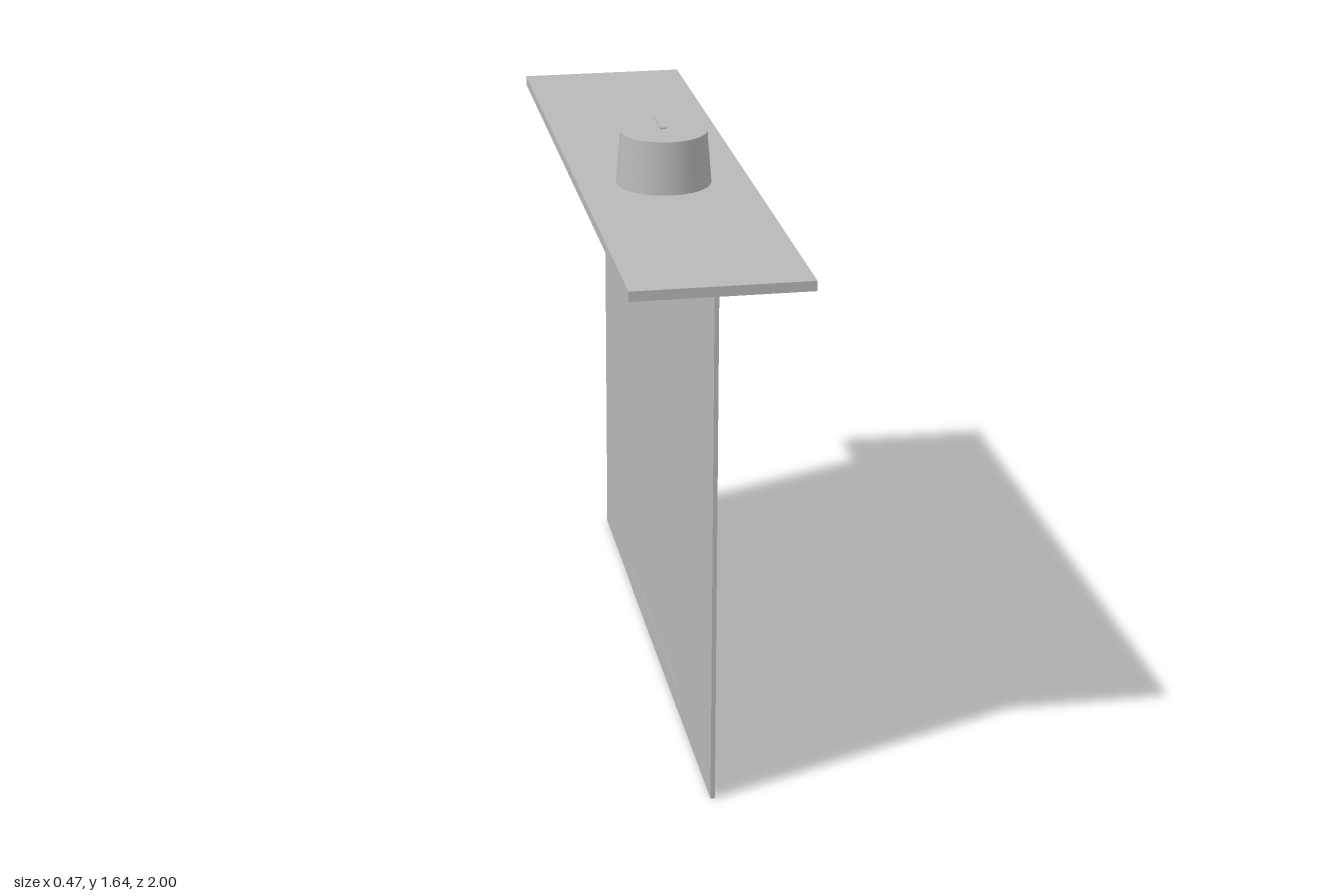
import * as THREE from 'three';

export function createModel() {
  const model = new THREE.Group();
  const grey = new THREE.MeshStandardMaterial({ color: 0xb8b8b8 });
  grey.name = 'plainGrey';

  const add = (name, geometry, x, y, z) => {
    const mesh = new THREE.Mesh(geometry, grey);
    mesh.name = name;
    mesh.position.set(x, y, z);
    model.add(mesh);
    return mesh;
  };
  // Box given by its lower and upper corners
  const box = (name, [x0, y0, z0], [x1, y1, z1]) =>
    add(name, new THREE.BoxGeometry(x1 - x0, y1 - y0, z1 - z0),
      (x0 + x1) / 2, (y0 + y1) / 2, (z0 + z1) / 2);

  // Thin upright blade with its folded mounting flange
  box('blade', [-0.006, 0, -0.915], [0.006, 1.461, 0.915]);
  box('bladeFlange', [0.006, 1.448, -0.915], [0.11, 1.461, 0.915]);
  // Barely raised strip along the lower edge
  box('lowerStrip', [-0.007, 0.001, -0.4], [0.007, 0.072, 0.4]);

  // Horizontal cover plate
  box('topPlate', [-0.237, 1.461, -1], [0.237, 1.488, 1]);

  // Tapered knob with a pointer mark reaching to the rim
  add('knob', new THREE.CylinderGeometry(0.119, 0.131, 0.146, 64), 0, 1.561, 0.131);
  box('knobPointer', [-0.008, 1.633, 0.013], [0.008, 1.639, 0.125]);

  return model;
}
